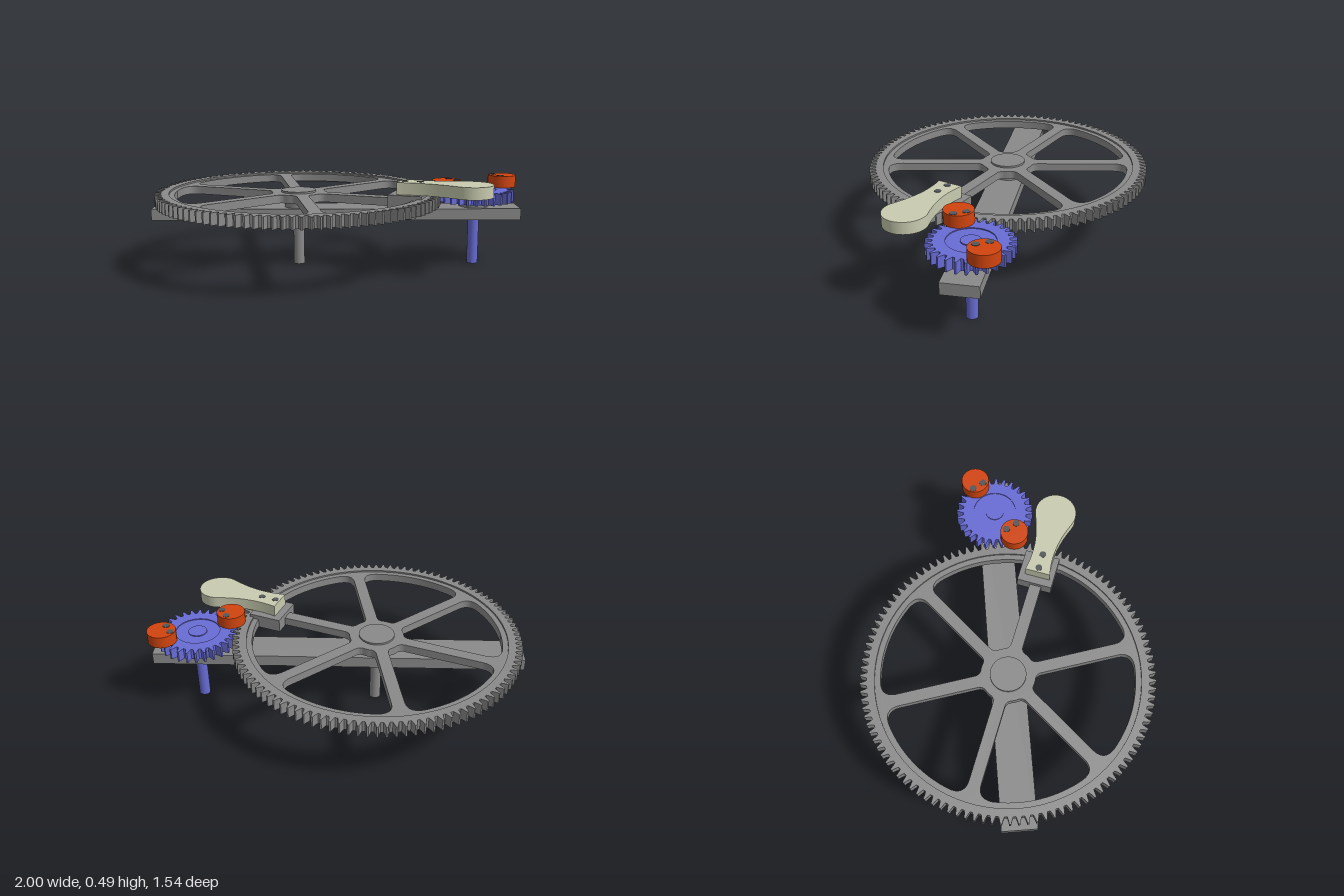
import * as THREE from 'three';
import { toCreasedNormals } from 'three/addons/utils/BufferGeometryUtils.js';

const mat = (name, color) => {
  const m = new THREE.MeshStandardMaterial({ color });
  m.name = name;
  return m;
};

export function createModel() {
  const steel = mat('steel grey', 0x8a8a8a);
  const dark = mat('dark screw grey', 0x55585a);
  const blue = mat('blue', 0x686cd4);
  const red = mat('orange red', 0xd2450f);
  const cream = mat('cream', 0xc9ccb0);

  const add = (parent, name, geo, material, x = 0, y = 0, z = 0) => {
    const m = new THREE.Mesh(geo, material);
    m.name = name;
    m.position.set(x, y, z);
    parent.add(m);
    return m;
  };
  const group = (parent, name, x, z, ry = 0) => {
    const g = new THREE.Group();
    g.name = name;
    g.position.set(x, 0, z);
    g.rotation.y = ry;
    parent.add(g);
    return g;
  };
  // Upright disc between two heights
  const disc = (parent, name, r, y0, y1, material, x = 0, z = 0) =>
    add(parent, name, new THREE.CylinderGeometry(r, r, y1 - y0, 40), material, x, (y0 + y1) / 2, z);
  // Flat plate from a plan shape, between two heights
  const plate = (parent, name, shape, y0, y1, material) => {
    let geo = new THREE.ExtrudeGeometry(shape, { depth: y1 - y0, bevelEnabled: false, curveSegments: 40 });
    geo.rotateX(-Math.PI / 2);
    geo = toCreasedNormals(geo, 0.5);
    return add(parent, name, geo, material, 0, y0, 0);
  };
  const circle = (r) => new THREE.Path().absarc(0, 0, r, 0, Math.PI * 2, true);

  // Toothed outline with tapered teeth
  function gearShape(teeth, rRoot, rTip, phase = 0) {
    const pts = [];
    const step = (Math.PI * 2) / teeth;
    const profile = [[-0.34, rRoot], [-0.2, (rRoot + rTip) / 2], [-0.1, rTip],
      [0.1, rTip], [0.2, (rRoot + rTip) / 2], [0.34, rRoot]];
    for (let i = 0; i < teeth; i++) {
      for (const [t, r] of profile) {
        const a = phase + (i + t) * step;
        pts.push(new THREE.Vector2(Math.cos(a) * r, Math.sin(a) * r));
      }
    }
    return new THREE.Shape(pts);
  }

  // Opening between two straight spokes, with rounded corners
  function spokeWindow(a, b, ri, ro, half, fi, fo) {
    const at = (ang, r) => [Math.cos(ang) * r, Math.sin(ang) * r];
    const lo = (r) => a + Math.asin(half / r);
    const hi = (r) => b - Math.asin(half / r);
    const p = new THREE.Path();
    p.moveTo(...at(lo(ro - fo), ro - fo));
    p.quadraticCurveTo(...at(lo(ro), ro), ...at(lo(ro) + fo / ro, ro));
    p.absarc(0, 0, ro, lo(ro) + fo / ro, hi(ro) - fo / ro, false);
    p.quadraticCurveTo(...at(hi(ro), ro), ...at(hi(ro - fo), ro - fo));
    p.lineTo(...at(hi(ri + fi), ri + fi));
    p.quadraticCurveTo(...at(hi(ri), ri), ...at(hi(ri) - fi / ri, ri));
    p.absarc(0, 0, ri, hi(ri) - fi / ri, lo(ri) + fi / ri, true);
    p.quadraticCurveTo(...at(lo(ri), ri), ...at(lo(ri + fi), ri + fi));
    p.closePath();
    return p;
  }

  const model = new THREE.Group();
  model.name = 'crankGearDrive';
  const tilt = 0.0625;
  const bigX = -0.205, smallX = 0.755, smallZ = -0.06;

  // Base bar carrying both axles
  const bar = add(model, 'baseBar', new THREE.BoxGeometry(1.992, 0.062, 0.185), steel, 0, 0.288, -0.0128);
  bar.rotation.y = tilt;

  // Large wheel: axle, spacer, toothed rim, spoked web and hub
  const big = group(model, 'largeWheel', bigX, 0);
  disc(big, 'largeAxle', 0.03, 0, 0.35, steel);
  disc(big, 'largeSpacer', 0.077, 0.318, 0.37, steel);
  const wheel = group(big, 'largeGear', 0, 0);
  wheel.rotation.x = 0.006;
  const rim = gearShape(108, 0.735, 0.771);
  rim.holes.push(circle(0.695));
  plate(wheel, 'toothedRim', rim, 0.35, 0.411, steel);
  const web = new THREE.Shape().absarc(0, 0, 0.7, 0, Math.PI * 2, false);
  const spoke0 = THREE.MathUtils.degToRad(-17);
  for (let i = 0; i < 6; i++) {
    const a = spoke0 + (i * Math.PI) / 3;
    web.holes.push(spokeWindow(a, a + Math.PI / 3, 0.145, 0.665, 0.032, 0.03, 0.08));
  }
  plate(wheel, 'spokes', web, 0.358, 0.402, steel);
  disc(wheel, 'hub', 0.095, 0.35, 0.412, steel);

  // Crank handle bolted over one spoke
  const crank = group(big, 'crank', 0, 0, spoke0);
  add(crank, 'handleBracket', new THREE.BoxGeometry(0.18, 0.072, 0.19), steel, 0.62, 0.389, -0.005);
  const h = new THREE.Shape();
  const cx = 0.946, r = 0.112, ang = THREE.MathUtils.degToRad(110);
  const px = cx + Math.cos(ang) * r, py = Math.sin(ang) * r;
  h.moveTo(0.572, 0.068);
  h.lineTo(0.572, -0.068);
  h.bezierCurveTo(0.69, -0.045, 0.785, -0.058, px, -py);
  h.absarc(cx, 0, r, -ang, ang, false);
  h.bezierCurveTo(0.785, 0.058, 0.69, 0.045, 0.572, 0.068);
  plate(crank, 'handle', h, 0.425, 0.488, cream);
  for (const u of [0.598, 0.68]) disc(crank, 'handleScrew', 0.018, 0.484, 0.49, dark, u, 0);

  // Small pinion: axle, spacer, toothed rim, recessed web and hub
  const small = group(model, 'pinion', smallX, smallZ, tilt);
  disc(small, 'pinionSpacer', 0.077, 0.318, 0.356, steel);
  disc(small, 'pinionAxle', 0.03, 0, 0.36, blue);
  const pinion = gearShape(28, 0.177, 0.213, Math.PI / 28);
  pinion.holes.push(circle(0.118));
  plate(small, 'pinionTeeth', pinion, 0.352, 0.413, blue);
  disc(small, 'pinionWeb', 0.12, 0.356, 0.408, blue);
  disc(small, 'pinionHub', 0.05, 0.352, 0.413, blue);

  // Two round weights on opposite sides of the pinion, each with two screws
  for (const s of [1, -1]) {
    const w = group(model, 'weight', smallX, smallZ);
    disc(w, 'weightDisc', 0.076, 0.414, 0.478, red, s * 0.163, s * -0.107);
    for (const [x, z] of [[0.112, -0.118], [0.147, -0.064]]) {
      disc(w, 'weightScrew', 0.019, 0.474, 0.48, dark, s * x, s * z);
    }
  }
  return model;
}
